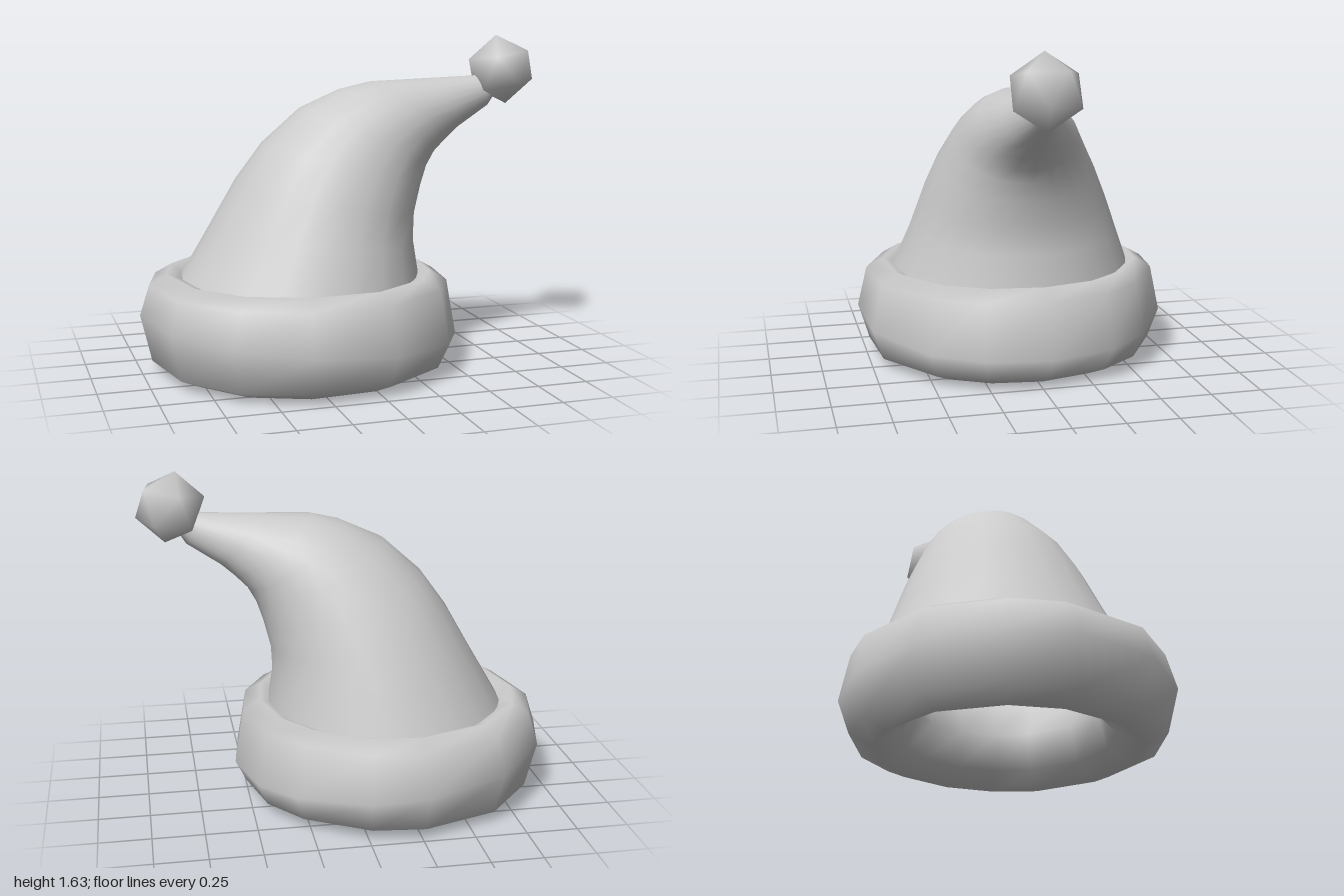
import * as THREE from 'three';
import { mergeVertices } from 'three/addons/utils/BufferGeometryUtils.js';

// Smooth skin over rings of points; closeRings joins the last ring to the first.
function loft(rings, closeRings = false) {
  const n = rings[0].length, m = rings.length, index = [];
  for (let i = 0; i < (closeRings ? m : m - 1); i++) {
    for (let j = 0; j < n; j++) {
      const a = i * n + j, b = i * n + (j + 1) % n;
      const c = ((i + 1) % m) * n + j, d = ((i + 1) % m) * n + (j + 1) % n;
      index.push(a, c, b, b, c, d);
    }
  }
  const geo = new THREE.BufferGeometry();
  geo.setAttribute('position', new THREE.Float32BufferAttribute(rings.flat(2), 3));
  geo.setIndex(index);
  geo.computeVertexNormals();
  return geo;
}

export function createModel() {
  const group = new THREE.Group();
  const material = new THREE.MeshStandardMaterial({ color: 0xcccccc, side: THREE.DoubleSide });
  const add = (name, geo) => {
    const mesh = new THREE.Mesh(geo, material);
    mesh.name = name;
    group.add(mesh);
    return mesh;
  };

  // Fur brim: a slightly irregular outline (x, z) scaled by a puffy profile (scale, y)
  const cx = -0.22;
  const outline = [
    [-0.27, -0.78], [0, -0.75], [0.32, -0.56], [0.48, -0.35], [0.56, -0.03], [0.52, 0.28], [0.39, 0.52],
    [0.05, 0.75], [-0.35, 0.78], [-0.69, 0.64], [-0.92, 0.36], [-1, -0.05], [-0.92, -0.35], [-0.66, -0.65],
  ];
  const profile = [
    [0.63, 0.07], [0.79, 0], [0.93, 0.05], [1, 0.22], [0.94, 0.43], [0.83, 0.48], [0.66, 0.43], [0.57, 0.24],
  ];
  const brimRings = profile.map(([k, y]) => outline.map(([x, z]) => {
    const tilt = k === 1 ? -0.08 * (x - cx) : 0; // widest line leans with the brim
    return [cx + (x - cx) * k, y + tilt, z * k];
  }));
  add('brim', loft(brimRings, true));

  // Drooping cone: elliptical sections [leftX, leftY, rightX, rightY, half width, centre z]
  const sections = [
    [-0.82, 0.41, 0.39, 0.41, 0.63, 0],
    [-0.65, 0.70, 0.36, 0.62, 0.53, 0],
    [-0.52, 0.93, 0.365, 0.75, 0.465, 0.01],
    [-0.39, 1.11, 0.40, 0.89, 0.395, 0.02],
    [-0.20, 1.28, 0.43, 0.98, 0.325, 0.03],
    [0.00, 1.37, 0.47, 1.05, 0.27, 0.04],
    [0.15, 1.405, 0.53, 1.11, 0.22, 0.05],
    [0.42, 1.415, 0.60, 1.17, 0.14, 0.06],
    [0.68, 1.425, 0.76, 1.275, 0.075, 0.07],
    [0.80, 1.44, 0.83, 1.38, 0.03, 0.08],
  ];
  const sides = 22;
  const coneRings = sections.map(([lx, ly, rx, ry, w, cz]) =>
    Array.from({ length: sides }, (_, j) => {
      const t = (j / sides) * Math.PI * 2, c = Math.cos(t) / 2;
      return [(lx + rx) / 2 + c * (rx - lx), (ly + ry) / 2 + c * (ry - ly), cz + w * Math.sin(t)];
    }));
  add('cone', loft(coneRings));

  // Pompom on the tip: smooth-shaded icosahedron, a corner up, then turned and tilted
  let ball = new THREE.IcosahedronGeometry(0.175, 0);
  ball.deleteAttribute('uv');
  ball.deleteAttribute('normal');
  ball = mergeVertices(ball);
  ball.computeVertexNormals();
  ball.rotateZ(0.554).rotateY(-0.14).rotateZ(0.17);
  add('pompom', ball).position.set(0.832, 1.455, 0.08);

  return group;
}
